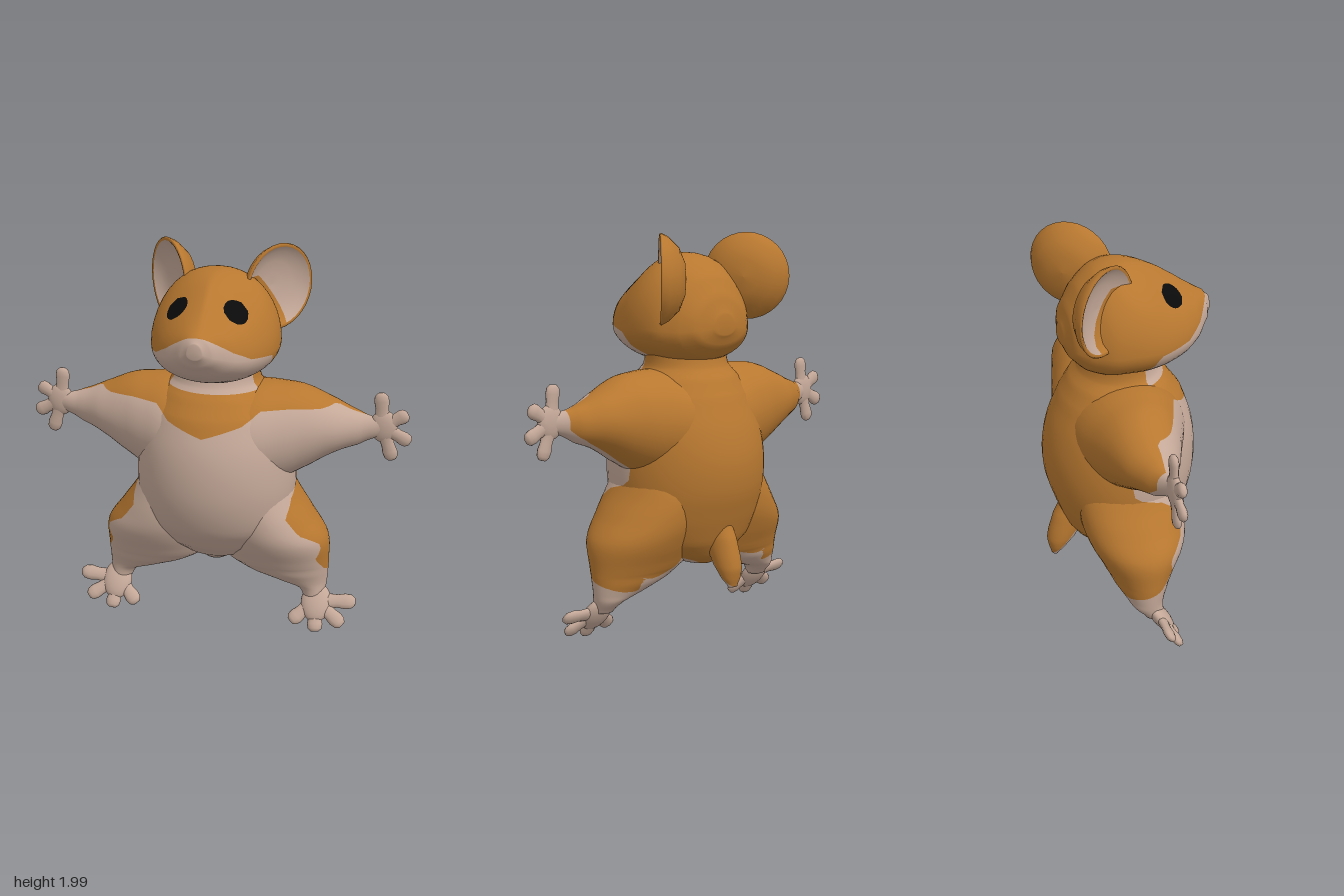
import * as THREE from 'three';

const mat = (name, color) => Object.assign(new THREE.MeshStandardMaterial({ color }), { name });

// Piecewise linear lookup in [key, value] pairs
function table(rows, k) {
  if (k <= rows[0][0]) return rows[0][1];
  for (let i = 1; i < rows.length; i++) {
    const [a, va] = rows[i - 1], [b, vb] = rows[i];
    if (k <= b) return va + (vb - va) * (k - a) / (b - a);
  }
  return rows[rows.length - 1][1];
}

// Smoothly add rows between cross-sections
function refine(rows, steps) {
  const out = [];
  for (let i = 0; i < rows.length - 1; i++) {
    const [p, q, r, s] = [-1, 0, 1, 2].map(d => rows[Math.min(Math.max(i + d, 0), rows.length - 1)]);
    for (let k = 0; k < steps; k++) {
      const t = k / steps;
      out.push(q.map((_, c) => c === 0 ? q[0] + (r[0] - q[0]) * t
        : q[c] + 0.5 * t * (r[c] - p[c] + t * (2 * p[c] - 5 * q[c] + 4 * r[c] - s[c]
          + t * (3 * (q[c] - r[c]) + s[c] - p[c])))));
    }
  }
  return [...out, rows[rows.length - 1]];
}

// Oval cross-sections [t, u0, u1, v0, v1, pinch] along an axis; (u, v) follow it cyclically.
// mid sets the height of the widest line, pinch narrows the part above it.
function loft(axis, stations, mid = 0.5) {
  const rows = refine(stations, 5), n = 44, pos = [], idx = [];
  const add = (t, u, v) => {
    const p = [0, 0, 0];
    p[axis] = t; p[(axis + 1) % 3] = u; p[(axis + 2) % 3] = v;
    pos.push(...p);
  };
  for (const [t, u0, u1, v0, v1, pinch = 1] of rows) {
    const vm = v0 + (v1 - v0) * mid;
    for (let j = 0; j < n; j++) {
      const a = j / n * Math.PI * 2, c = Math.cos(a), s = Math.sin(a);
      const w = Math.sign(c) * Math.abs(c) ** (s > 0 ? pinch : 1);
      add(t, (u0 + u1) / 2 + w * (u1 - u0) / 2, vm + s * (s > 0 ? v1 - vm : vm - v0));
    }
  }
  const last = rows.length - 1, cap = rows.length * n;
  for (const [t, u0, u1, v0, v1] of [rows[0], rows[last]]) add(t, (u0 + u1) / 2, (v0 + v1) / 2);
  for (let j = 0; j < n; j++) {
    const k = (j + 1) % n;
    for (let i = 0; i < last; i++) {
      const a = i * n + j, b = i * n + k;
      idx.push(a, b, a + n, b, b + n, a + n);
    }
    idx.push(cap, k, j, cap + 1, last * n + j, last * n + k);
  }
  const g = new THREE.BufferGeometry();
  g.setAttribute('position', new THREE.Float32BufferAttribute(pos, 3));
  g.setIndex(idx);
  g.computeVertexNormals();
  return g;
}

// Cut a surface along f = 0 and return the [positive, negative] sides
function split(geo, f) {
  const g = geo.index ? geo.toNonIndexed() : geo, P = g.attributes.position, N = g.attributes.normal;
  return [true, false].map(side => {
    const pos = [], nor = [];
    for (let i = 0; i < P.count; i += 3) {
      const tri = [i, i + 1, i + 2].map(k => {
        const p = new THREE.Vector3().fromBufferAttribute(P, k);
        return { p, n: new THREE.Vector3().fromBufferAttribute(N, k), v: f(p) };
      });
      const poly = [];
      tri.forEach((a, k) => {
        const b = tri[(k + 1) % 3], t = a.v / (a.v - b.v);
        if ((a.v >= 0) === side) poly.push(a);
        if ((a.v >= 0) !== (b.v >= 0)) poly.push({ p: a.p.clone().lerp(b.p, t), n: a.n.clone().lerp(b.n, t).normalize() });
      });
      for (let k = 1; k < poly.length - 1; k++)
        for (const q of [poly[0], poly[k], poly[k + 1]]) { pos.push(...q.p); nor.push(...q.n); }
    }
    const out = new THREE.BufferGeometry();
    out.setAttribute('position', new THREE.Float32BufferAttribute(pos, 3));
    out.setAttribute('normal', new THREE.Float32BufferAttribute(nor, 3));
    return out;
  });
}

function mirror(geo) {
  const g = geo.clone().scale(-1, 1, 1);
  g.index.array.reverse();
  return g;
}

// Flattened finger or toe with a rounded pad, in the xy plane
function digit(x0, y0, x1, y1, r) {
  const len = Math.hypot(x1 - x0, y1 - y0);
  const pts = [[0, 0], [1, 0.05], [0.85, 0.35], [0.78, 0.55], [0.9, 0.75], [0.8, 0.9], [0.45, 0.99], [0, 1]];
  return new THREE.LatheGeometry(pts.map(([a, b]) => new THREE.Vector2(a * r, b * len)), 12)
    .scale(1, 1, 0.6).rotateZ(Math.atan2(y1 - y0, x1 - x0) - Math.PI / 2).translate(x0, y0, 0);
}

// Where the coat is brown (positive) on torso and limbs
const sideLine = [[0.2, -0.3], [0.3, -0.12], [0.34, 0], [0.42, 0.07], [0.5, 0.05], [0.58, 0.14], [0.68, 0.16],
  [0.75, 0.06], [0.79, -0.08], [0.9, -0.1], [1.05, -0.13], [1.15, -0.08], [1.22, -0.05]];
const collarLine = [[0, 1.13], [0.2, 1.19], [0.26, 1.245], [0.4, 1.25], [0.55, 1.24], [0.65, 1.26]];
function coat({ x, y, z }) {
  const ax = Math.abs(x);
  let f = Math.max(table(sideLine, y) - z, y - table(collarLine, ax));
  f = Math.min(f, 0.77 - ax);
  f = Math.min(f, Math.max(1.32 - y, 0.04 - z));
  return Math.min(f, Math.max(ax - 0.42, -0.2 - z, y - 0.42));
}

const cheekLine = [[-0.1, 1.3], [0, 1.41], [0.05, 1.45], [0.08, 1.515], [0.25, 1.54], [0.33, 1.59], [0.38, 1.645], [0.43, 1.7]];
const face = ({ y, z }) => y - table(cheekLine, z);

const eyeAxis = new THREE.Vector3(0.6, 0.55, 0.58).normalize();
function eye({ x, y, z }) {
  const d = new THREE.Vector3(Math.abs(x) - 0.133, y - 1.735, z - 0.175), h = d.dot(eyeAxis);
  return h < -0.12 ? -1 : 0.066 - d.addScaledVector(eyeAxis, -h).length();
}

export function createModel() {
  const model = new THREE.Group();
  model.name = 'rodent';
  const brown = mat('brown fur', 0xb87830), cream = mat('cream fur', 0xc4a898), black = mat('black eye', 0x0a0a0a);

  const add = (name, geo, material) => {
    const m = new THREE.Mesh(geo, material);
    m.name = name;
    model.add(m);
  };
  const painted = (name, geo, f) => {
    const [a, b] = split(geo, f);
    add(name + 'Brown', a, brown);
    add(name + 'Cream', b, cream);
  };
  const sides = (name, geo, make) => {
    make('left' + name, geo);
    make('right' + name, mirror(geo));
  };
  const creamPart = (n, g) => add(n, g, cream), coatPart = (n, g) => painted(n, g, coat);

  // Torso and neck: [y, z back, z front, x right, x left]
  painted('torso', loft(1, [[0.35, -0.22, 0.03, -0.08, 0.08], [0.4, -0.28, 0.1, -0.2, 0.2], [0.48, -0.33, 0.19, -0.32, 0.32],
    [0.6, -0.375, 0.285, -0.39, 0.39], [0.75, -0.418, 0.337, -0.41, 0.41], [0.9, -0.425, 0.35, -0.41, 0.41],
    [1.05, -0.395, 0.332, -0.39, 0.39], [1.2, -0.335, 0.28, -0.34, 0.34], [1.29, -0.285, 0.215, -0.28, 0.28],
    [1.35, -0.24, 0.16, -0.225, 0.225], [1.45, -0.22, 0.14, -0.22, 0.22]]), coat);

  // Arms: [x, y low, y high, z back, z front]
  sides('Arm', loft(0, [[0.1, 0.84, 1.32, -0.33, 0.25], [0.22, 0.8, 1.338, -0.32, 0.24], [0.33, 0.83, 1.335, -0.29, 0.195],
    [0.45, 0.89, 1.318, -0.255, 0.14], [0.6, 0.98, 1.255, -0.21, 0.075], [0.72, 1.03, 1.205, -0.145, 0.01],
    [0.8, 1.075, 1.185, -0.09, -0.015], [0.86, 1.09, 1.19, -0.075, -0.025]]), coatPart);

  // Hands
  sides('Palm', new THREE.SphereGeometry(1, 20, 14).scale(0.07, 0.085, 0.03).translate(0.845, 1.14, -0.05), creamPart);
  [[0.825, 1.315], [0.96, 1.215], [0.98, 1.065], [0.895, 0.965]].forEach(([x, y], i) =>
    sides('Finger' + (i + 1), digit(0.84, 1.14, x, y, 0.042).translate(0, 0, -0.05), creamPart));

  // Legs: [y, z back, z front, x inner, x outer]
  sides('Leg', loft(1, [[0.16, -0.07, 0.03, 0.475, 0.58], [0.22, -0.125, 0.03, 0.43, 0.588], [0.26, -0.155, 0.05, 0.3, 0.592],
    [0.31, -0.19, 0.085, 0.16, 0.595], [0.37, -0.22, 0.12, 0.06, 0.597], [0.51, -0.285, 0.195, 0.02, 0.59],
    [0.62, -0.315, 0.22, 0.02, 0.515], [0.75, -0.31, 0.21, 0.06, 0.425], [0.87, -0.25, 0.16, 0.14, 0.37]]), coatPart);

  // Feet, tilted forward at the ankle
  const footPart = g => g.rotateX(-0.6).translate(0.53, 0.2, -0.03);
  sides('Foot', footPart(new THREE.SphereGeometry(1, 20, 14).scale(0.08, 0.105, 0.042).translate(0.015, -0.07, 0)), creamPart);
  [[0.222, -0.045], [0.165, -0.175], [0.025, -0.225], [-0.11, -0.185]].forEach(([x, y], i) =>
    sides('Toe' + (i + 1), footPart(digit(0.012, -0.06, x, y, 0.045)), creamPart));

  // Tail
  painted('tail', loft(1, [[0.265, -0.41, -0.375, -0.028, 0.028], [0.31, -0.422, -0.335, -0.053, 0.053],
    [0.37, -0.428, -0.28, -0.068, 0.068], [0.5, -0.395, -0.2, -0.07, 0.07], [0.58, -0.36, -0.2, -0.06, 0.06]]),
  ({ y, z }) => -0.36 - z + (y - 0.33) * 0.8);

  // Head: [z, x right, x left, y low, y high, pinch], eyes cut into its surface
  const head = loft(2, [[-0.33, -0.06, 0.06, 1.51, 1.61, 1], [-0.3, -0.17, 0.17, 1.45, 1.7, 1], [-0.24, -0.24, 0.24, 1.39, 1.8, 1],
    [-0.15, -0.3, 0.3, 1.36, 1.875, 0.95], [-0.05, -0.32, 0.32, 1.355, 1.902, 0.95], [0.05, -0.315, 0.315, 1.355, 1.89, 1.15],
    [0.15, -0.285, 0.285, 1.37, 1.848, 1.5], [0.25, -0.235, 0.235, 1.405, 1.782, 1.5], [0.33, -0.17, 0.17, 1.455, 1.725, 1.3],
    [0.4, -0.085, 0.085, 1.525, 1.68, 1], [0.43, -0.035, 0.035, 1.575, 1.65, 1]], 0.34);
  const [eyes, rest] = split(head, eye);
  add('eyes', eyes, black);
  painted('head', rest, face);

  // Ears: cupped discs facing forward and outward
  const earPart = pts => new THREE.LatheGeometry(pts.map(p => new THREE.Vector2(...p)), 32)
    .rotateX(Math.PI / 2).rotateY(Math.atan2(0.78, 0.62)).translate(0.258, 1.782, -0.2);
  sides('EarBack', earPart([[0, -0.09], [0.08, -0.083], [0.15, -0.055], [0.2, -0.005], [0.218, 0.03], [0.212, 0.038], [0.2, 0.034]]),
    (n, g) => add(n, g, brown));
  sides('EarInner', earPart([[0.2, 0.034], [0.17, 0.008], [0.12, -0.012], [0.06, -0.022], [0, -0.025]]),
    (n, g) => painted(n, g, ({ x, y }) => Math.min(1.85 - y, 0.21 + (1.8 - y) * 0.5 - Math.abs(x))));

  return model;
}
